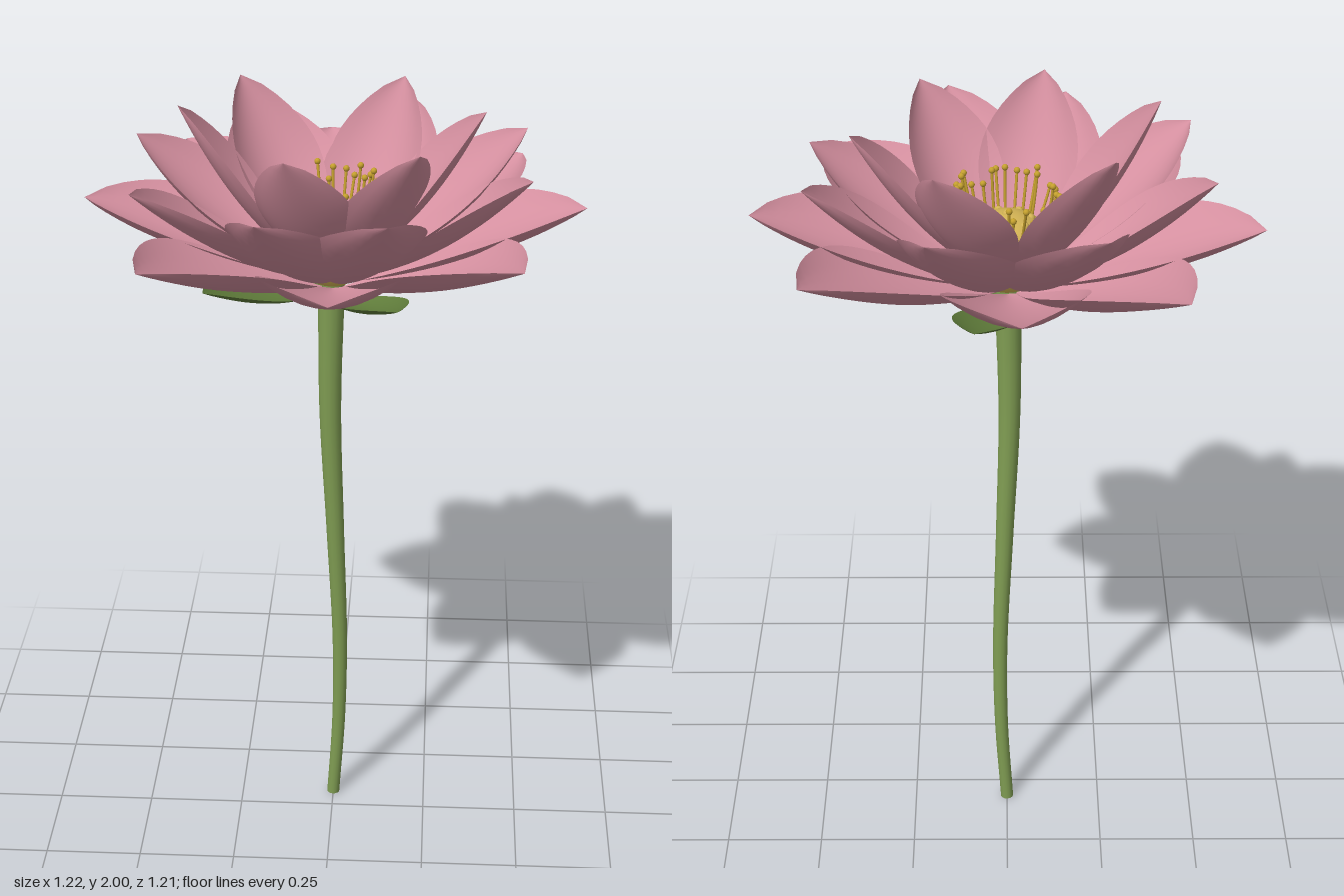
import * as THREE from 'three';

const mat = (name, color, side = THREE.FrontSide) => {
  const m = new THREE.MeshStandardMaterial({ color, side });
  m.name = name;
  return m;
};

// Small seeded generator for the stamens
function seeded(seed) {
  return () => {
    seed = (seed * 16807) % 2147483647;
    return seed / 2147483647;
  };
}

// Cupped, pointed leaf shape along +x: a plane bent over a radial curve
function petalGeometry(start, bend, tip, halfWidth, cup) {
  const geo = new THREE.PlaneGeometry(1, 1, 10, 18);
  const curve = new THREE.QuadraticBezierCurve(
    new THREE.Vector2(...start), new THREE.Vector2(...bend), new THREE.Vector2(...tip));
  const pos = geo.attributes.position;
  for (let i = 0; i < pos.count; i++) {
    const u = pos.getX(i) * 2;
    const t = THREE.MathUtils.clamp(pos.getY(i) + 0.5, 0, 1);
    const p = curve.getPoint(t);
    const d = curve.getTangent(t);
    const w = halfWidth * Math.pow(Math.max(0, Math.sin(Math.PI * Math.pow(t, 1.35))), 0.73);
    const lift = cup * w * u * u;
    pos.setXYZ(i, p.x - d.y * lift, p.y + d.x * lift, w * u);
  }
  geo.computeVertexNormals();
  return geo;
}

export function createModel() {
  const pink = mat('petal pink', 0xd48f9f, THREE.DoubleSide);
  const sepalGreen = mat('sepal green', 0x627f3c, THREE.DoubleSide);
  const stemGreen = mat('stem green', 0x7f9c52);
  const yellow = mat('receptacle yellow', 0xd4b455);
  const gold = mat('stamen gold', 0xc4a02e);

  const model = new THREE.Group();
  model.name = 'waterFlower';
  const add = (parent, name, geo, material) => {
    const mesh = new THREE.Mesh(geo, material);
    mesh.name = name;
    parent.add(mesh);
    return mesh;
  };
  const group = (parent, name) => {
    const g = new THREE.Group();
    g.name = name;
    parent.add(g);
    return g;
  };

  // Stem: gently curved tube, thicker towards the flower
  const path = new THREE.CatmullRomCurve3([
    [0, 0, -0.065], [0.015, 0.25, -0.061], [0.018, 0.5, -0.053],
    [0.006, 0.85, -0.04], [-0.006, 1.2, -0.028], [-0.002, 1.56, -0.02],
  ].map((p) => new THREE.Vector3(...p)));
  const rows = 40, sides = 14;
  const stem = new THREE.TubeGeometry(path, rows, 1, sides, false);
  const sp = stem.attributes.position;
  const v = new THREE.Vector3();
  for (let i = 0; i < sp.count; i++) {
    const t = Math.floor(i / (sides + 1)) / rows;
    const c = path.getPointAt(t);
    v.fromBufferAttribute(sp, i).sub(c).multiplyScalar(0.017 + 0.017 * Math.pow(t, 1.7)).add(c);
    sp.setXYZ(i, v.x, Math.max(0, v.y), v.z);
  }
  add(model, 'stem', stem, stemGreen);
  const foot = add(model, 'stemEnd', new THREE.CircleGeometry(0.017, sides), stemGreen);
  foot.rotation.x = Math.PI / 2;
  foot.position.set(0, 0.001, -0.065);

  const flower = group(model, 'flower');
  flower.position.z = -0.02;

  // Petal rings: each tip is [angle in degrees, radius, height]
  const rings = [
    { name: 'outerPetal', start: [0.03, 1.54], bend: [0.34, 1.6], width: 0.17, cup: 0.42, tips: [
      [-93, 0.59, 1.74], [-41, 0.617, 1.74], [-1.4, 0.61, 1.74], [42, 0.605, 1.74],
      [88, 0.62, 1.74], [133.5, 0.608, 1.735], [186.5, 0.614, 1.725], [230, 0.625, 1.74]] },
    { name: 'middlePetal', start: [0.03, 1.555], bend: [0.29, 1.63], width: 0.147, cup: 0.42, tips: [
      [-68.6, 0.494, 1.87], [-22, 0.504, 1.88], [16.5, 0.493, 1.86], [73, 0.5, 1.87],
      [108, 0.484, 1.86], [148.7, 0.527, 1.86], [194.6, 0.5, 1.87], [243, 0.493, 1.87]] },
    { name: 'innerPetal', start: [0.03, 1.57], bend: [0.22, 1.69], width: 0.122, cup: 0.42, tips: [
      [-62.7, 0.358, 1.965], [-9.4, 0.368, 1.96], [53, 0.35, 1.965],
      [105.3, 0.352, 1.965], [172, 0.363, 2], [227.3, 0.354, 1.98]] },
    { name: 'sepal', start: [0.02, 1.525], bend: [0.22, 1.53], width: 0.08, cup: 0.3, tips:
      [-7, 65, 137, 209, 281].map((a) => [a, 0.395, 1.62]) },
  ];
  for (const ring of rings) {
    const holder = group(flower, ring.name + 's');
    for (const [angle, radius, height] of ring.tips) {
      const geo = petalGeometry(ring.start, ring.bend, [radius, height], ring.width, ring.cup);
      const petal = add(holder, ring.name, geo, ring.name === 'sepal' ? sepalGreen : pink);
      petal.rotation.y = -THREE.MathUtils.degToRad(angle);
    }
  }

  // Receptacle: flared pod with a domed top
  const profile = [[0, 1.54], [0.045, 1.55], [0.075, 1.62], [0.09, 1.685], [0.088, 1.7],
    [0.075, 1.716], [0.05, 1.73], [0.025, 1.737], [0, 1.739]];
  add(flower, 'receptacle',
    new THREE.LatheGeometry(profile.map((p) => new THREE.Vector2(...p)), 32), yellow);

  // Seeds set into the dome
  const seeds = group(flower, 'seeds');
  const seedGeo = new THREE.SphereGeometry(0.012, 10, 8);
  add(seeds, 'seed', seedGeo, yellow).position.set(0, 1.735, 0);
  for (let i = 0; i < 7; i++) {
    const a = (i / 7) * Math.PI * 2 + 0.3;
    add(seeds, 'seed', seedGeo, yellow).position.set(Math.cos(a) * 0.056, 1.72, Math.sin(a) * 0.056);
  }

  // Stamens: outward-leaning filaments with round heads
  const stamens = group(flower, 'stamens');
  const headGeo = new THREE.SphereGeometry(0.008, 10, 8);
  const rand = seeded(17);
  const count = 36;
  for (let i = 0; i < count; i++) {
    const a = ((i + (rand() - 0.5) * 0.6) / count) * Math.PI * 2;
    const r = 0.11 + rand() * 0.035;
    const y = 1.765 + rand() * 0.045;
    const at = (radius, h) => new THREE.Vector3(Math.cos(a) * radius, h, Math.sin(a) * radius);
    const filament = new THREE.QuadraticBezierCurve3(at(0.06, 1.6), at(0.1, 1.67), at(r, y));
    add(stamens, 'filament', new THREE.TubeGeometry(filament, 6, 0.0035, 6), gold);
    add(stamens, 'anther', headGeo, gold).position.copy(at(r, y));
  }

  return model;
}
